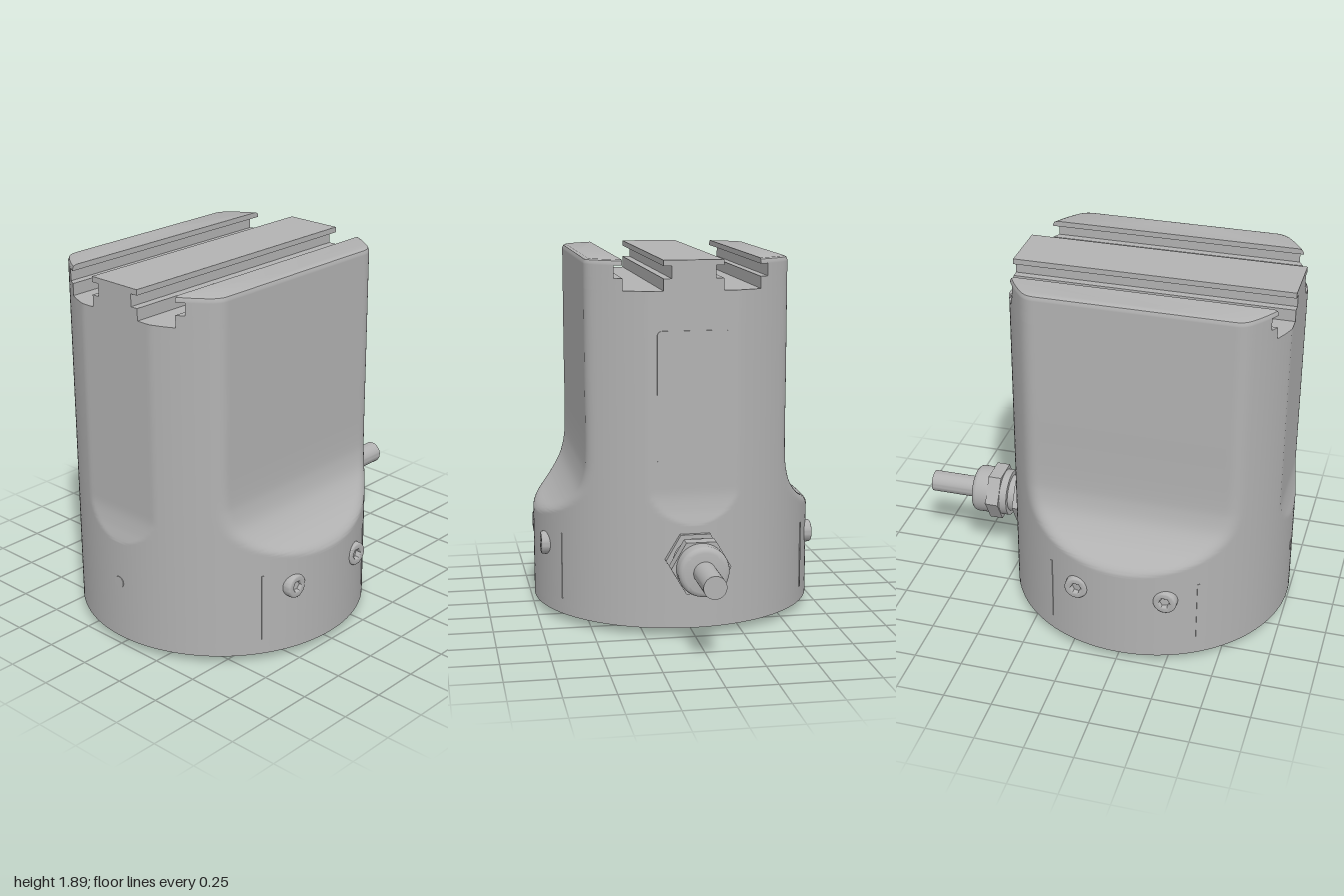
import * as THREE from 'three';
import { toCreasedNormals } from 'three/addons/utils/BufferGeometryUtils.js';

const R = 0.74; // body radius
const grey = new THREE.MeshStandardMaterial({ color: 0xb2b2b2 });
grey.name = 'machined grey';

function part(name, geometry, parent, crease = 0.6) {
  const mesh = new THREE.Mesh(toCreasedNormals(geometry, crease), grey);
  mesh.name = name;
  parent.add(mesh);
  return mesh;
}

// Smooth minimum, used to fillet the edge where a flat meets the round body
function softMin(a, b, k) {
  const h = Math.max(k - Math.abs(a - b), 0) / k;
  return Math.min(a, b) - h * h * k / 4;
}

// Circle from angle a0 to a1, clipped by flats at |z| = zc and |x| = xc
function ring(y, zc, xc, a0, a1, n, r = R) {
  return Array.from({ length: n }, (_, i) => {
    const a = a0 + (a1 - a0) * i / n;
    const x = r * Math.cos(a), z = r * Math.sin(a);
    return new THREE.Vector3(
      Math.sign(x) * Math.min(Math.abs(x), xc), y,
      Math.sign(z) * softMin(Math.abs(z), zc, 0.04));
  });
}

// Skin a stack of closed rings and cap both ends
function loft(rings) {
  const pos = [];
  const tri = (...pts) => pts.forEach(p => pos.push(p.x, p.y, p.z));
  const centre = r => r.reduce((s, p) => s.add(p), new THREE.Vector3()).divideScalar(r.length);
  const n = rings[0].length, top = rings[rings.length - 1], bottom = rings[0];
  const ct = centre(top), cb = centre(bottom);
  for (let j = 0; j < n; j++) {
    const k = (j + 1) % n;
    for (let i = 0; i + 1 < rings.length; i++) {
      const lo = rings[i], hi = rings[i + 1];
      tri(lo[j], hi[j], lo[k]);
      tri(hi[j], hi[k], lo[k]);
    }
    tri(ct, top[k], top[j]);
    tri(cb, bottom[j], bottom[k]);
  }
  const g = new THREE.BufferGeometry();
  g.setAttribute('position', new THREE.Float32BufferAttribute(pos, 3));
  return g;
}

const lathe = (pts, n = 48) => new THREE.LatheGeometry(pts.map(p => new THREE.Vector2(...p)), n);

function circlePath(x, y, r, sides) {
  const p = new THREE.Path();
  if (!sides) return p.absarc(x, y, r, 0, Math.PI * 2, true);
  p.setFromPoints(Array.from({ length: sides }, (_, i) => new THREE.Vector2(
    x + r * Math.cos(-i * 2 * Math.PI / sides), y + r * Math.sin(-i * 2 * Math.PI / sides))));
  p.closePath();
  return p;
}

function disc(r) {
  const s = new THREE.Shape();
  s.absarc(0, 0, r, 0, Math.PI * 2, false);
  return s;
}

export function createModel() {
  const model = new THREE.Group();
  model.name = 'clampingHead';
  const body = new THREE.Group();
  body.name = 'body';
  body.position.x = -0.26;
  model.add(body);

  // Main housing: each row is height, front/back flat, side flat
  const rows = [
    [0.1, 0.9, 0.9], [0.3, 0.9, 0.9], [0.48, 0.82, 0.85], [0.52, 0.77, 0.77],
    [0.56, 0.715, 0.745], [0.6, 0.655, 0.732], [0.65, 0.6, 0.718], [0.72, 0.55, 0.706],
    [0.8, 0.525, 0.705], [0.88, 0.517, 0.705], [1.3, 0.517, 0.705], [1.74, 0.517, 0.705],
  ].map(r => new THREE.Vector3(...r));
  const curve = new THREE.CatmullRomCurve3(rows);
  const steps = (rows.length - 1) * 6;
  const rings = Array.from({ length: steps + 1 }, (_, i) => {
    const p = curve.getPoint(i / steps);
    return ring(p.x, p.y, p.z, 0, Math.PI * 2, 240);
  });
  part('housing', loft(rings), body);

  // Base plate with blind mounting holes
  const base = disc(R);
  base.holes.push(circlePath(0, 0, 0.19), circlePath(0, -0.42, 0.045));
  for (let i = 0; i < 4; i++) {
    const a = Math.PI * (0.25 + i / 2);
    base.holes.push(circlePath(0.405 * Math.cos(a), 0.405 * Math.sin(a), 0.05));
  }
  const plate = new THREE.ExtrudeGeometry(base, { depth: 0.06, bevelEnabled: false, curveSegments: 60 });
  plate.rotateX(-Math.PI / 2).translate(0, 0.04, 0);
  part('basePlate', plate, body);

  // Centring collar with a seal groove
  part('centringCollar', lathe([
    [0.19, 0.04], [0.19, 0.01], [0.2, 0], [0.222, 0], [0.222, 0.012], [0.232, 0.012],
    [0.232, 0], [0.25, 0], [0.257, 0.008], [0.257, 0.04]], 64), body);

  // Top rails forming two undercut slots
  const half = [[0.15, 1.74], [0.15, 1.8], [0.11, 1.8], [0.11, 1.862], [0.15, 1.862], [0.15, 1.89]];
  const profile = new THREE.Shape([
    ...half, ...half.slice().reverse().map(([x, y]) => [-x, y])].map(p => new THREE.Vector2(...p)));
  const rail = new THREE.ExtrudeGeometry(profile, { depth: 1.41, bevelEnabled: false });
  rail.translate(0, 0, -0.705).rotateY(Math.PI / 2);
  part('middleRail', rail, body);

  const railRings = [
    [1.74, 0.345, 0], [1.8, 0.345, 0], [1.8, 0.385, 0], [1.862, 0.385, 0],
    [1.862, 0.345, 0], [1.87, 0.345, 0], [1.884, 0.345, 0.006], [1.89, 0.345, 0.02],
  ].map(([y, z, inset]) => {
    const r = R - inset, a = Math.asin(z / r), n = 96;
    // stretch so the last sample lands on the far corner
    const end = a + (Math.PI - 2 * a) * n / (n - 1);
    return ring(y, 0.517 - inset, 0.705, a, end, n, r);
  });
  for (const turn of [0, Math.PI]) {
    const side = new THREE.Group();
    side.name = turn ? 'backDetails' : 'frontDetails';
    side.rotation.y = turn;
    body.add(side);
    part('outerRail', loft(railRings), side);

    for (const s of [-1, 1]) {
      // Button-head screw with a hex socket
      const head = disc(0.05);
      head.holes.push(circlePath(0, 0, 0.038, 6));
      const screw = part('screw', new THREE.ExtrudeGeometry(head, {
        depth: 0.05, bevelThickness: 0.012, bevelSize: 0.01, bevelSegments: 4, curveSegments: 24,
      }), side);
      screw.position.set(s * 0.23, 0.385, 0.664);

      // Narrow vertical slit marking
      const slit = part('slit', new THREE.BoxGeometry(0.012, 0.35, 0.008), side);
      slit.position.set(s * 0.382, 0.295, 0.633);
      slit.rotation.y = s * Math.atan2(0.382, 0.633);
    }
  }

  // Nameplate on the left flat
  const w = 0.183, h = 0.333, c = 0.025;
  const label = new THREE.Shape();
  label.absarc(w - c, h - c, c, 0, Math.PI / 2);
  label.absarc(c - w, h - c, c, Math.PI / 2, Math.PI);
  label.absarc(c - w, c - h, c, Math.PI, Math.PI * 1.5);
  label.absarc(w - c, c - h, c, Math.PI * 1.5, Math.PI * 2);
  const namePlate = part('namePlate', new THREE.ExtrudeGeometry(label, { depth: 0.006, bevelEnabled: false }), body);
  namePlate.rotation.y = Math.PI / 2;
  namePlate.position.set(0.704, 1.212, 0);

  // Small plug on the right side
  const plug = part('plug', new THREE.CylinderGeometry(0.03, 0.03, 0.01, 24), body);
  plug.rotation.z = Math.PI / 2;
  plug.position.set(-0.738, 0.35, 0);

  // Cable gland along +x
  const gland = new THREE.Group();
  gland.name = 'cableGland';
  gland.position.y = 0.4;
  gland.rotation.z = -Math.PI / 2;
  model.add(gland);
  const hex = (name, from, to) => {
    part(name, new THREE.CylinderGeometry(0.15, 0.15, to - from, 6), gland).position.y = (from + to) / 2;
  };
  hex('lockNut', 0.44, 0.502);
  part('glandNeck', lathe([[0.1, 0.48], [0.1, 0.545], [0.125, 0.545], [0.125, 0.6]]), gland);
  hex('glandNut', 0.585, 0.655);
  part('glandCap', lathe([
    [0.125, 0.64], [0.127, 0.72], [0.123, 0.735], [0.113, 0.745], [0.1, 0.748], [0, 0.748]]), gland);
  part('cable', lathe([[0.057, 0.74], [0.057, 1], [0, 1]]), gland);

  return model;
}
